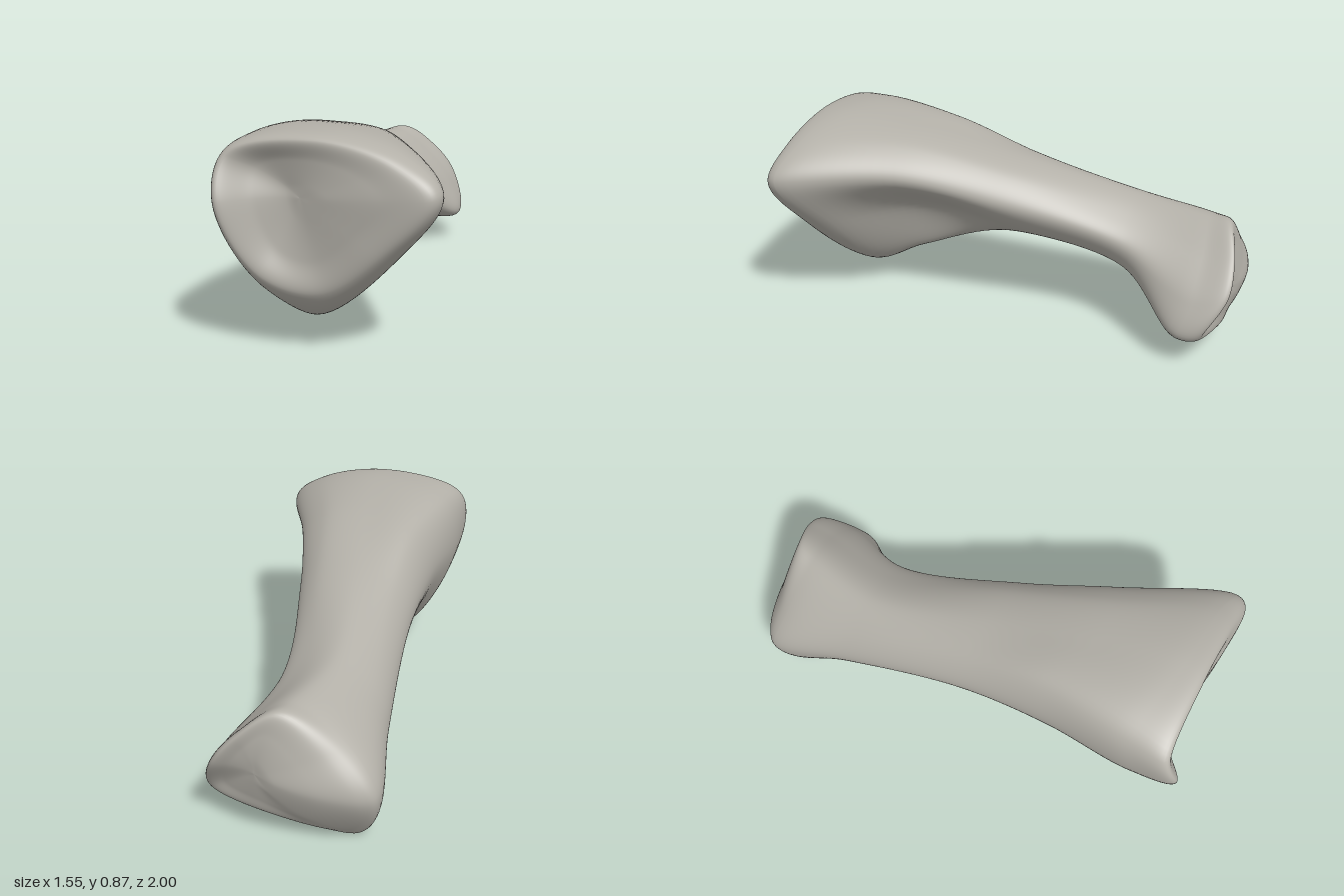
import * as THREE from 'three';
import { mergeVertices } from 'three/addons/utils/BufferGeometryUtils.js';

const bone = new THREE.MeshStandardMaterial({ color: 0xb3b0a8 });
bone.name = 'bone grey';

// Cross-sections from front to back; each runs top, upper left (+x), left, ... round to upper right
const frontRim = [[0.33, 0.838, 0.8], [0.62, 0.77, 0.7], [0.76, 0.65, 0.67], [0.59, 0.43, 0.72],
  [0.34, 0.25, 0.785], [0.14, 0.31, 0.89], [0.03, 0.6, 1], [0.025, 0.775, 0.93]];
const frontHead = [[0.32, 0.862, 0.69], [0.62, 0.787, 0.62], [0.77, 0.66, 0.61], [0.59, 0.42, 0.57],
  [0.21, 0.105, 0.63], [0.06, 0.2, 0.7], [-0.065, 0.57, 0.83], [-0.035, 0.8, 0.75]];
const frontNeck = [[0.13, 0.82, 0.38], [0.33, 0.78, 0.3], [0.42, 0.66, 0.25], [0.2, 0.45, 0.33],
  [0.12, 0.21, 0.41], [-0.03, 0.28, 0.46], [-0.185, 0.56, 0.45], [-0.125, 0.765, 0.37]];
const shaft = [[-0.1, 0.705, 0], [0.07, 0.67, -0.05], [0.16, 0.57, -0.06], [0.06, 0.43, -0.03],
  [-0.06, 0.345, 0.03], [-0.22, 0.35, 0.1], [-0.335, 0.49, 0.08], [-0.265, 0.645, 0.05]];
const backNeck = [[-0.37, 0.572, -0.44], [-0.22, 0.515, -0.48], [-0.14, 0.42, -0.52], [-0.18, 0.31, -0.5],
  [-0.32, 0.25, -0.46], [-0.52, 0.18, -0.41], [-0.6, 0.32, -0.4], [-0.52, 0.48, -0.39]];
const backHead = [[-0.43, 0.545, -0.76], [-0.27, 0.43, -0.84], [-0.15, 0.28, -0.87], [-0.1, 0.135, -0.84],
  [-0.38, 0.095, -0.78], [-0.65, 0, -0.65], [-0.78, 0.23, -0.69], [-0.66, 0.41, -0.7]];
const backRim = [[-0.44, 0.54, -0.86], [-0.32, 0.44, -0.96], [-0.23, 0.31, -1], [-0.15, 0.135, -0.93],
  [-0.37, 0.105, -0.89], [-0.65, 0.04, -0.71], [-0.755, 0.23, -0.75], [-0.62, 0.41, -0.79]];
const frontCentre = new THREE.Vector3(0.26, 0.61, 0.785); // hollow of the front joint
const backCentre = new THREE.Vector3(-0.38, 0.29, -0.925);

const AROUND = 96, ALONG = 132;

// Smooth closed loop through one cross-section
function loop(points) {
  const curve = new THREE.CatmullRomCurve3(points.map(p => new THREE.Vector3(...p)), true);
  return Array.from({ length: AROUND }, (_, j) => curve.getPoint(j / AROUND));
}

// Point on an end face, a share t of the way from rim to centre, levelling out at the centre
function facePoint(rim, centre, t) {
  const p = rim.clone().lerp(centre, t);
  p.z = THREE.MathUtils.lerp(rim.z, centre.z, 1 - (1 - t) ** 2);
  return p;
}

function buildBone() {
  const rings = [frontRim, frontHead, frontNeck, shaft, backNeck, backHead, backRim].map(loop);
  const positions = [], index = [];
  // Lengthwise curves, from the front centre over the sides to the back centre
  for (let j = 0; j < AROUND; j++) {
    const column = rings.map(r => r[j]);
    const front = column[0], back = column[column.length - 1];
    const curve = new THREE.CatmullRomCurve3([
      frontCentre, facePoint(front, frontCentre, 0.75), facePoint(front, frontCentre, 0.35),
      ...column,
      facePoint(back, backCentre, 0.35), facePoint(back, backCentre, 0.75), backCentre]);
    for (let i = 0; i <= ALONG; i++) positions.push(...curve.getPoint(i / ALONG).toArray());
  }
  // Skin between neighbouring curves
  const at = (i, j) => (j % AROUND) * (ALONG + 1) + i;
  for (let j = 0; j < AROUND; j++) {
    for (let i = 0; i < ALONG; i++) {
      const a = at(i, j), b = at(i, j + 1), c = at(i + 1, j), d = at(i + 1, j + 1);
      if (i > 0) index.push(a, b, c);
      if (i < ALONG - 1) index.push(b, d, c);
    }
  }
  const geometry = new THREE.BufferGeometry();
  geometry.setAttribute('position', new THREE.Float32BufferAttribute(positions, 3));
  geometry.setIndex(index);
  const skin = mergeVertices(geometry, 1e-5);

  // Stand on the ground, centred
  skin.computeBoundingBox();
  const { min, max } = skin.boundingBox;
  skin.translate(-(min.x + max.x) / 2, -min.y, -(min.z + max.z) / 2);
  skin.computeVertexNormals();
  return skin;
}

export function createModel() {
  const group = new THREE.Group();
  group.name = 'footBone';
  const mesh = new THREE.Mesh(buildBone(), bone);
  mesh.name = 'boneBody';
  group.add(mesh);
  return group;
}
